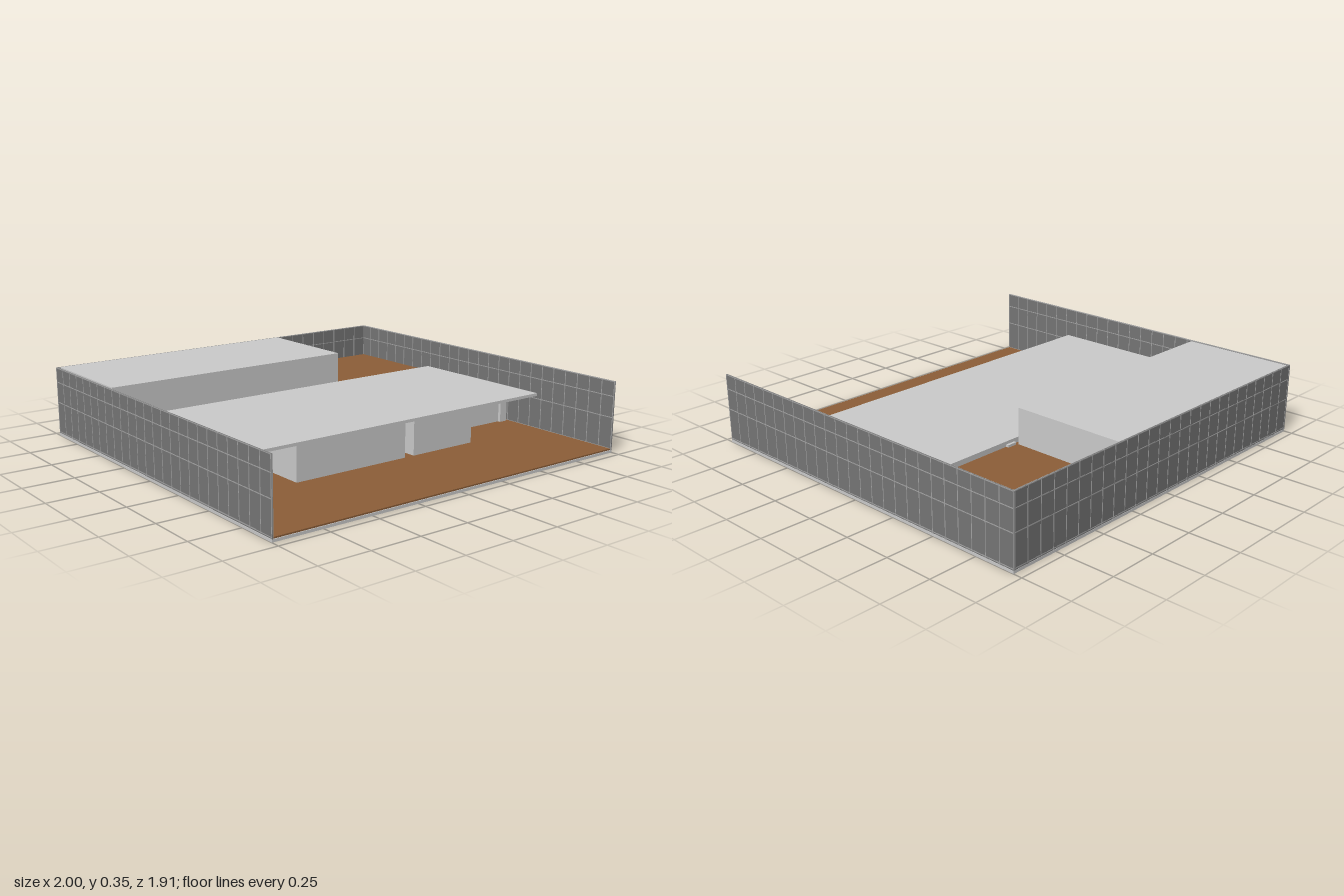
import * as THREE from 'three';

export function createModel() {
  const model = new THREE.Group();
  model.name = 'walledHouse';
  const mat = (name, color) => {
    const m = new THREE.MeshStandardMaterial({ color });
    m.name = name;
    return m;
  };
  const plaster = mat('lightPlaster', 0xcacaca);
  const soil = mat('brownSoil', 0x8c5e38);
  const fenceGrey = mat('fenceGrey', 0x757575);
  const jointGrey = mat('jointGrey', 0xa2a2a2);

  // Box given by its lower and upper limits on each axis
  const box = (name, material, x0, x1, y0, y1, z0, z1, parent = model) => {
    const mesh = new THREE.Mesh(new THREE.BoxGeometry(x1 - x0, y1 - y0, z1 - z0), material);
    mesh.position.set((x0 + x1) / 2, (y0 + y1) / 2, (z0 + z1) / 2);
    mesh.name = name;
    parent.add(mesh);
    return mesh;
  };

  const D = 0.957; // half depth of the plot
  const FLOOR = 0.02;
  const TERRACE = 0.178;
  const TOP = 0.355;

  // Plot: foundation, front yard and raised rear terrace
  box('foundation', plaster, -1, 1, 0, 0.013, -D, D);
  box('frontYard', soil, -0.995, 0.995, 0.013, FLOOR, -D + 0.004, D - 0.004);
  box('rearTerrace', soil, -0.994, 0.994, FLOOR, TERRACE, -D + 0.006, -0.36);

  // Piers at the edge of the terrace
  [[-0.975, -0.965], [-0.94, -0.93], [0.365, 0.415], [0.93, 0.98]].forEach(([a, b]) =>
    box('terracePier', plaster, a, b, FLOOR, 0.19, -0.375, -0.355));
  box('sidePanel', plaster, -0.994, -0.98, TERRACE, 0.28, -0.7, -0.61);

  // Lower house: main body, front rooms either side of the entrance, roof slab
  box('houseBodyLeft', plaster, 0.13, 0.988, FLOOR, 0.19, -0.36, 0.26);
  box('houseBodyRight', plaster, -0.978, 0.13, FLOOR, 0.19, -0.36, 0.18);
  box('frontRoomRight', plaster, -0.53, 0.1, FLOOR, 0.19, 0.17, 0.465);
  box('frontRoomLeft', plaster, 0.155, 0.53, FLOOR, 0.19, 0.17, 0.465);
  box('frontRoof', plaster, -0.98, 0.99, 0.19, 0.205, -0.362, 0.47);

  // Lintels and posts of the two recesses and the entrance
  box('lintelRight', plaster, -0.975, -0.53, 0.155, 0.19, 0.18, 0.19);
  box('postRight', plaster, -0.975, -0.935, FLOOR, 0.155, 0.18, 0.19);
  box('lintelLeft', plaster, 0.53, 0.93, 0.155, 0.19, 0.26, 0.27);
  box('postLeft', plaster, 0.93, 0.975, FLOOR, 0.19, 0.26, 0.275);
  box('entranceLintel', plaster, 0.1, 0.155, 0.155, 0.19, 0.26, 0.27);

  // Upper house standing on the terrace
  box('upperHouse', plaster, -0.98, 0.355, TERRACE, TOP, -D + 0.008, -0.38);

  // Panelled fence, built along x and turned for the sides
  const fence = (name, length, count) => {
    const g = new THREE.Group();
    g.name = name;
    const h = length / 2;
    box('fencePanel', fenceGrey, -h, h, 0.013, TOP, -0.0025, 0.0025, g);
    for (let i = 0; i <= count; i++) {
      const x = THREE.MathUtils.clamp(-h + (length * i) / count, -h + 0.002, h - 0.002);
      box('fenceUpright', jointGrey, x - 0.002, x + 0.002, 0.013, TOP, -0.004, 0.004, g);
    }
    [0.02, 0.175, 0.28, TOP - 0.002].forEach(y =>
      box('fenceRail', jointGrey, -h, h, y - 0.002, y + 0.002, -0.0038, 0.0038, g));
    model.add(g);
    return g;
  };
  fence('rearFence', 1.99, 26).position.z = -D + 0.004;
  [-1, 1].forEach(side => {
    const g = fence(side > 0 ? 'leftFence' : 'rightFence', 2 * D, 25);
    g.rotation.y = Math.PI / 2;
    g.position.x = side * 0.996;
  });

  return model;
}
